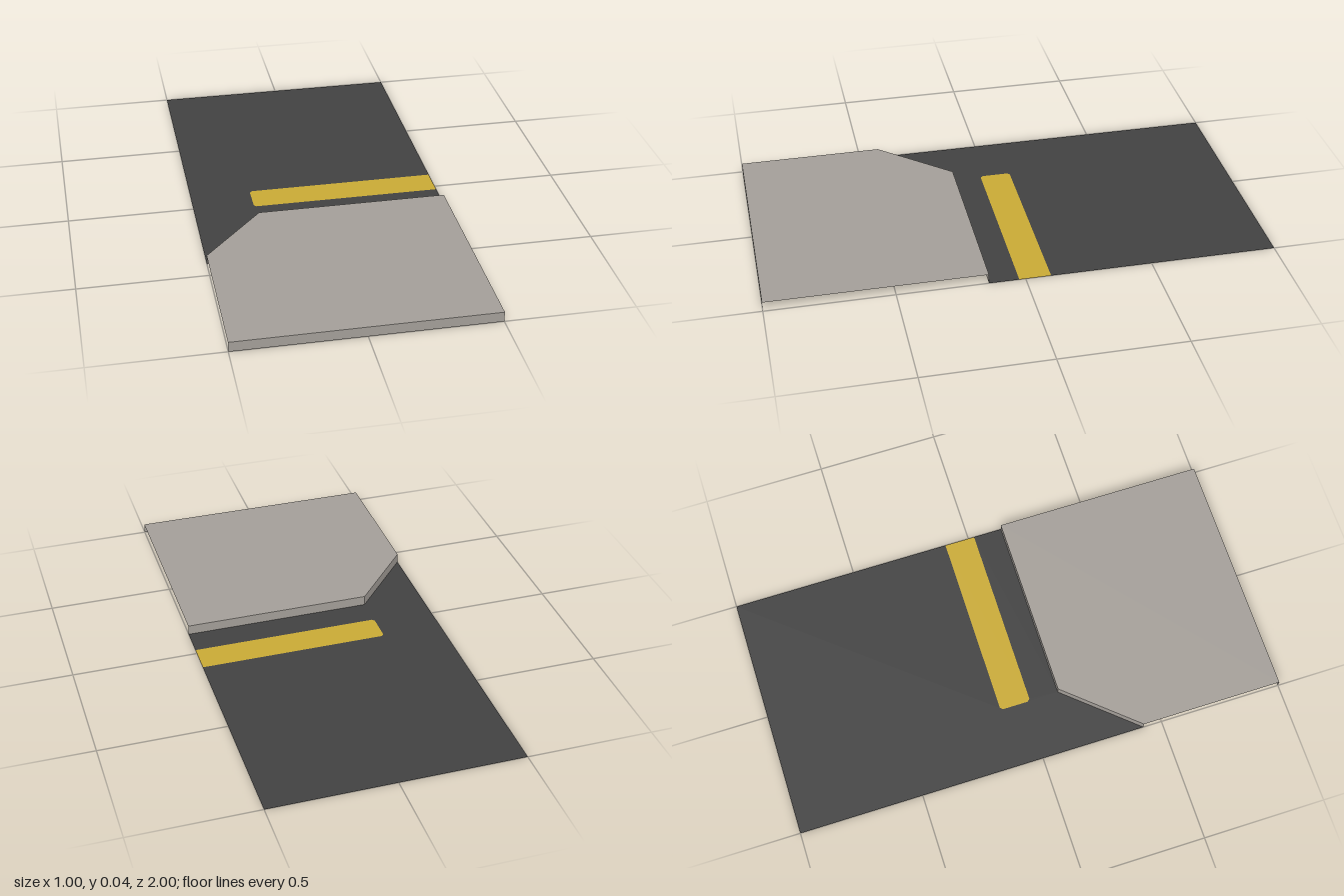
import * as THREE from 'three';

const material = (name, color) => {
  const m = new THREE.MeshStandardMaterial({ color, side: THREE.DoubleSide });
  m.name = name;
  return m;
};

// Horizontal sheet from an [x, z] outline
function sheet(name, points, y, mat) {
  const shape = new THREE.Shape(points.map(([x, z]) => new THREE.Vector2(x, -z)));
  const mesh = new THREE.Mesh(new THREE.ShapeGeometry(shape).rotateX(-Math.PI / 2), mat);
  mesh.name = name;
  mesh.position.y = y;
  return mesh;
}

// Vertical strip standing on the ground from a to b, facing the left of that walk
function kerb(name, [ax, az], [bx, bz], height, mat) {
  const dx = bx - ax, dz = bz - az;
  const mesh = new THREE.Mesh(new THREE.PlaneGeometry(Math.hypot(dx, dz), height), mat);
  mesh.name = name;
  mesh.position.set((ax + bx) / 2, height / 2, (az + bz) / 2);
  mesh.rotation.y = Math.atan2(-dz, dx);
  return mesh;
}

export function createModel() {
  const group = new THREE.Group();
  group.name = 'roadTile';
  const asphalt = material('asphalt', 0x414141);
  const concrete = material('concrete', 0xa39e98);
  const paint = material('yellowPaint', 0xc8a935);

  const height = 0.04;
  const kerbLine = [[0.5, 0.143], [-0.255, 0.143], [-0.5, 0.423]];
  // Painted line with a clipped end, running to the tile edge
  const line = [[0.5, -0.1], [-0.247, -0.1], [-0.257, -0.09], [-0.257, 0.015], [-0.247, 0.025], [0.5, 0.025]];

  // Road surface, cut out around the painted line
  group.add(sheet('roadSurface', [[-0.5, -1], [0.5, -1], ...line, ...kerbLine], 0, asphalt));
  group.add(sheet('yellowLine', line, 0, paint));

  // Raised pavement with open sides
  group.add(sheet('pavementTop', [...kerbLine, [-0.5, 1], [0.5, 1]], height, concrete));
  group.add(kerb('roadKerb', kerbLine[0], kerbLine[1], height, concrete));
  group.add(kerb('cornerKerb', kerbLine[1], kerbLine[2], height, concrete));
  group.add(kerb('frontKerb', [-0.5, 1], [0.5, 1], height, concrete));
  return group;
}
